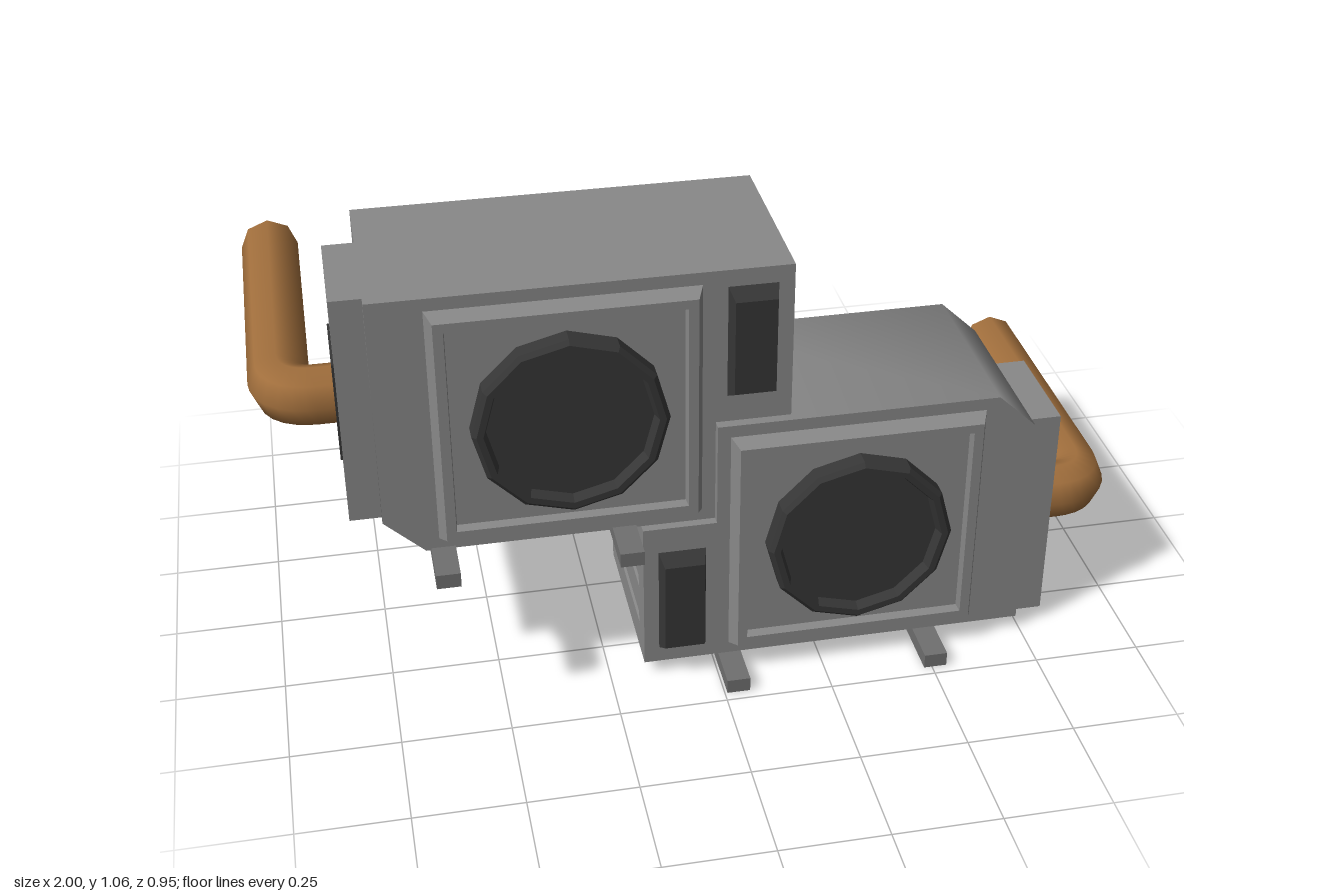
import * as THREE from 'three';
import { toCreasedNormals } from 'three/addons/utils/BufferGeometryUtils.js';

const mat = (color, extra = {}) => Object.assign(new THREE.MeshStandardMaterial({ color }), extra);
const casing = mat(0x888888, { side: THREE.DoubleSide });
const casingFlat = mat(0x888888, { flatShading: true, side: THREE.DoubleSide });
const railGrey = mat(0x707070);
const dark = mat(0x363636, { flatShading: true, side: THREE.DoubleSide });
const copper = mat(0xa06e3c, { side: THREE.DoubleSide });

const BACK = -0.07, FRONT = 0.37;

function add(parent, name, geometry, material, x = 0, y = 0, z = 0) {
  const mesh = new THREE.Mesh(geometry, material);
  mesh.name = name;
  mesh.position.set(x, y, z);
  parent.add(mesh);
  return mesh;
}

// Box spanning min to max on each axis
function box(parent, name, material, x0, x1, y0, y1, z0, z1) {
  return add(parent, name, new THREE.BoxGeometry(x1 - x0, y1 - y0, z1 - z0), material,
    (x0 + x1) / 2, (y0 + y1) / 2, (z0 + z1) / 2);
}

// Profile [radius, z] turned about the z axis
function turned(profile, sides, phase = 0) {
  const g = new THREE.LatheGeometry(profile.map(p => new THREE.Vector2(...p)), sides, phase);
  return g.rotateX(Math.PI / 2);
}

// Four-sided profile [half size, z], sized by sx and sy
function squareTurned(profile, sx = 1, sy = 1) {
  const g = turned(profile.map(([r, z]) => [r * Math.SQRT2, z]), 4, Math.PI / 4);
  return g.scale(sx, sy, 1);
}

// One condenser: fan on the right, control bay on the left, copper pipe out of the side
function makeUnit(name, pipeY) {
  const unit = new THREE.Group();
  unit.name = name;

  // Stepped casing with a chamfered corner
  const outline = new THREE.Shape([[-0.15, 0.035], [0.74, 0.035], [0.74, 0.58], [0.65, 0.665],
    [0, 0.665], [0, 0.41], [-0.15, 0.41]].map(p => new THREE.Vector2(...p)));
  const shell = new THREE.ExtrudeGeometry(outline, { depth: FRONT - BACK, bevelEnabled: false });
  add(unit, 'casing', toCreasedNormals(shell, 0.9), casing, 0, 0, BACK);

  // Side panel with louver slots, drawn as (z, y) and turned to face -x
  const panel = new THREE.Shape([[BACK, 0.035], [FRONT, 0.035], [FRONT, 0.41], [BACK, 0.41]]
    .map(p => new THREE.Vector2(...p)));
  for (const y of [0.12, 0.225, 0.33]) {
    panel.holes.push(new THREE.Path([[-0.01, y - 0.014], [0.0, y + 0.014], [0.3, y + 0.014], [0.31, y - 0.014]]
      .map(p => new THREE.Vector2(...p))));
    // Sloping floor of each slot
    const floor = add(unit, 'louver', new THREE.PlaneGeometry(0.32, 0.034), casingFlat, -0.161, y, 0.15);
    floor.rotation.set(0, -Math.PI / 2, 0);
    floor.rotateX(-0.55);
  }
  const side = new THREE.ExtrudeGeometry(panel, { depth: 0.02, bevelEnabled: false });
  side.rotateY(-Math.PI / 2);
  add(unit, 'louverPanel', side, casingFlat, -0.15, 0, 0);

  // Raised fan surround with a recessed field
  add(unit, 'fanSurround', squareTurned(
    [[0.295, 0], [0.28, 0.035], [0.258, 0.035], [0.255, 0.012], [0, 0.012]], 1, 0.968),
  casingFlat, 0.325, 0.35, FRONT);
  // Twelve-sided fan ring and sunken grille
  add(unit, 'fan', turned(
    [[0.215, 0.01], [0.215, 0.05], [0.205, 0.06], [0.19, 0.06], [0.182, 0.035], [0, 0.035]], 12),
  dark, 0.325, 0.35, FRONT);
  // Tapered control hatch
  add(unit, 'controlHatch', squareTurned([[0.5, 0], [0.42, 0.035], [0, 0.035]], 0.11, 0.27),
    dark, -0.08, 0.21, FRONT);

  // Pipe box, plate and elbow pipe
  box(unit, 'pipeBox', casing, 0.74, 0.81, 0.035, 0.58, 0.09, 0.345);
  box(unit, 'pipePlate', dark, 0.805, 0.815, pipeY - 0.118, pipeY + 0.118, 0.15, 0.33);
  const v = (x, z) => new THREE.Vector3(x, pipeY, z);
  const path = new THREE.CurvePath();
  path.add(new THREE.LineCurve3(v(0.8, 0.243), v(0.85, 0.243)));
  path.add(new THREE.QuadraticBezierCurve3(v(0.85, 0.243), v(0.93, 0.243), v(0.93, 0.163)));
  path.add(new THREE.LineCurve3(v(0.93, 0.163), v(0.93, -0.48)));
  add(unit, 'pipe', new THREE.TubeGeometry(path, 48, 0.067, 8), copper);
  return unit;
}

export function createModel() {
  const model = new THREE.Group();
  model.name = 'stackedCondensers';

  model.add(makeUnit('lowerUnit', 0.305));

  // The upper unit is the same one turned upside down
  const upper = makeUnit('upperUnit', 0.312);
  upper.rotation.z = Math.PI;
  upper.position.set(-0.005, 1.09, 0);
  model.add(upper);

  // Support rails under both units
  for (const [x, y] of [[0.033, 0], [0.508, 0], [-0.617, 0.395], [-0.212, 0.395]]) {
    box(model, 'supportRail', railGrey, x - 0.027, x + 0.027, y, y + 0.035, -0.285, 0.475);
  }
  return model;
}
